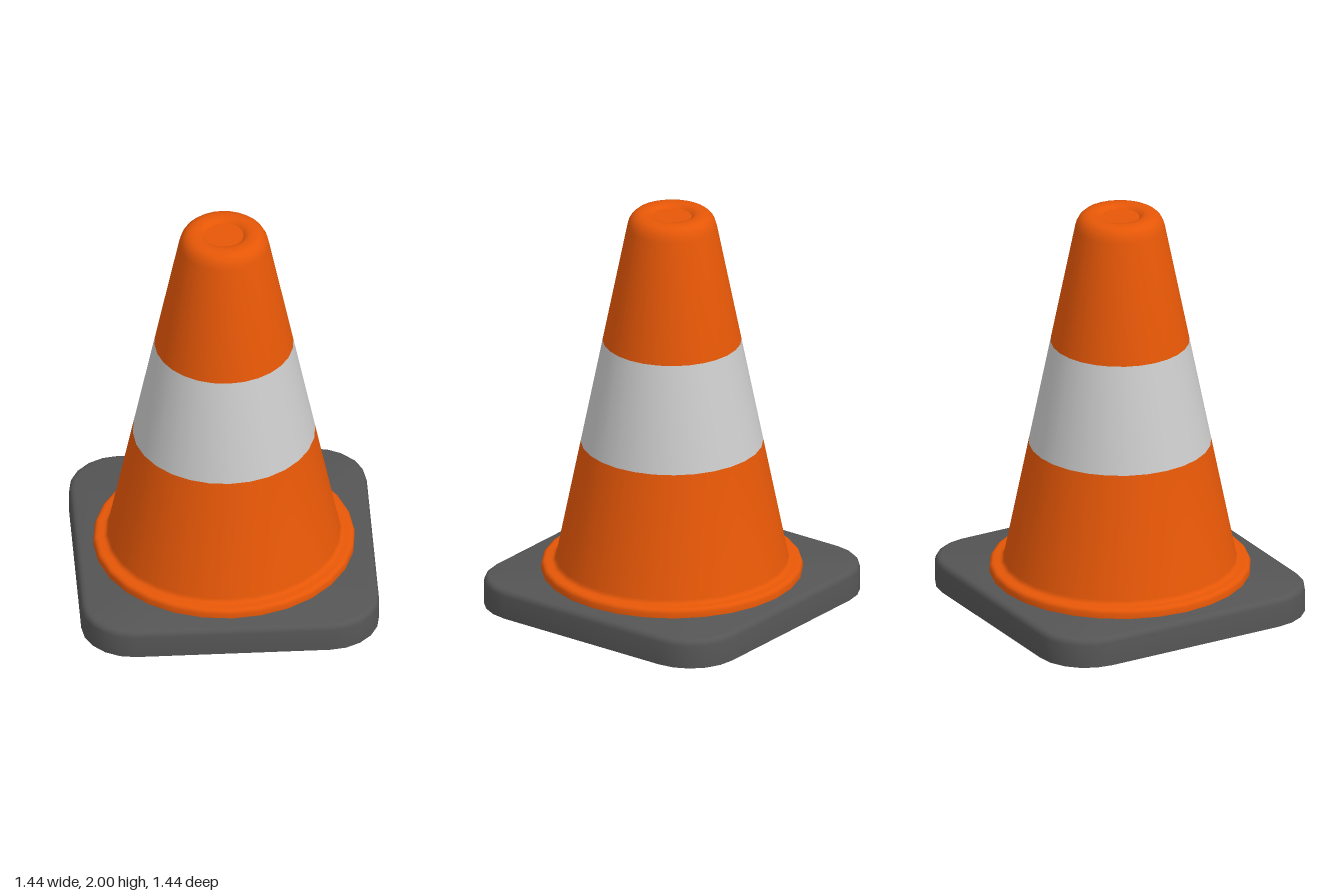
import * as THREE from 'three';
import { toCreasedNormals } from 'three/addons/utils/BufferGeometryUtils.js';

const SIDES = 28;
const orange = new THREE.MeshStandardMaterial({ color: 0xe65707, side: THREE.DoubleSide });
const white = new THREE.MeshStandardMaterial({ color: 0xcccccc });
const rubber = new THREE.MeshStandardMaterial({ color: 0x555555, side: THREE.DoubleSide });

const lathe = (profile, sides, start = 0) =>
  new THREE.LatheGeometry(profile.map(([r, y]) => new THREE.Vector2(r, y)), sides, start);

// Hollow rounded-square tray, open below: a lathe whose four quadrants are pushed out to the corners
function trayGeometry(half, corner, height, bevel) {
  const perCorner = 6, sides = perCorner * 4, quarter = Math.PI / 2;
  const profile = [[corner, 0]];
  for (let i = 0; i <= 3; i++) {
    const a = (i / 3) * quarter;
    profile.push([corner - bevel + bevel * Math.cos(a), height - bevel + bevel * Math.sin(a)]);
  }
  profile.push([0, height]);
  const geo = lathe(profile, sides, Math.PI / sides);
  const p = geo.attributes.position;
  for (let i = 0; i < p.count; i++) {
    const x = p.getX(i), z = p.getZ(i), r = Math.hypot(x, z);
    if (r < 1e-5) continue;
    const angle = Math.atan2(z, x);
    const mid = (Math.floor(angle / quarter) + 0.5) * quarter;
    // stretch each corner's fan to a full quarter turn
    const a = mid + (angle - mid) * perCorner / (perCorner - 1);
    p.setX(i, Math.sign(x) * (half - corner) + r * Math.cos(a));
    p.setZ(i, Math.sign(z) * (half - corner) + r * Math.sin(a));
  }
  return toCreasedNormals(geo, 0.6);
}

export function createModel() {
  const group = new THREE.Group();
  const add = (name, geometry, material) => {
    const mesh = new THREE.Mesh(geometry, material);
    mesh.name = name;
    group.add(mesh);
  };
  const turned = (name, profile, material) =>
    add(name, toCreasedNormals(lathe(profile, SIDES), 0.6), material);

  add('base', trayGeometry(0.718, 0.25, 0.145, 0.03), rubber);

  // Cone body in three bands, with a flange below and a rounded shoulder above
  turned('lowerCone', [
    [0.63, 0.141], [0.63, 0.17], [0.626, 0.181], [0.617, 0.188], [0.605, 0.19],
    [0.582, 0.19], [0.571, 0.193], [0.564, 0.2], [0.56, 0.212], [0.44, 0.813],
  ], orange);
  turned('reflectiveBand', [[0.44, 0.813], [0.335, 1.339]], white);
  turned('upperCone', [
    [0.335, 1.339], [0.217, 1.93], [0.21, 1.955], [0.198, 1.977], [0.18, 1.993], [0.155, 2],
    [0.125, 1.999], [0.107, 1.994], [0.095, 1.982], [0, 1.98],
  ], orange);
  return group;
}
